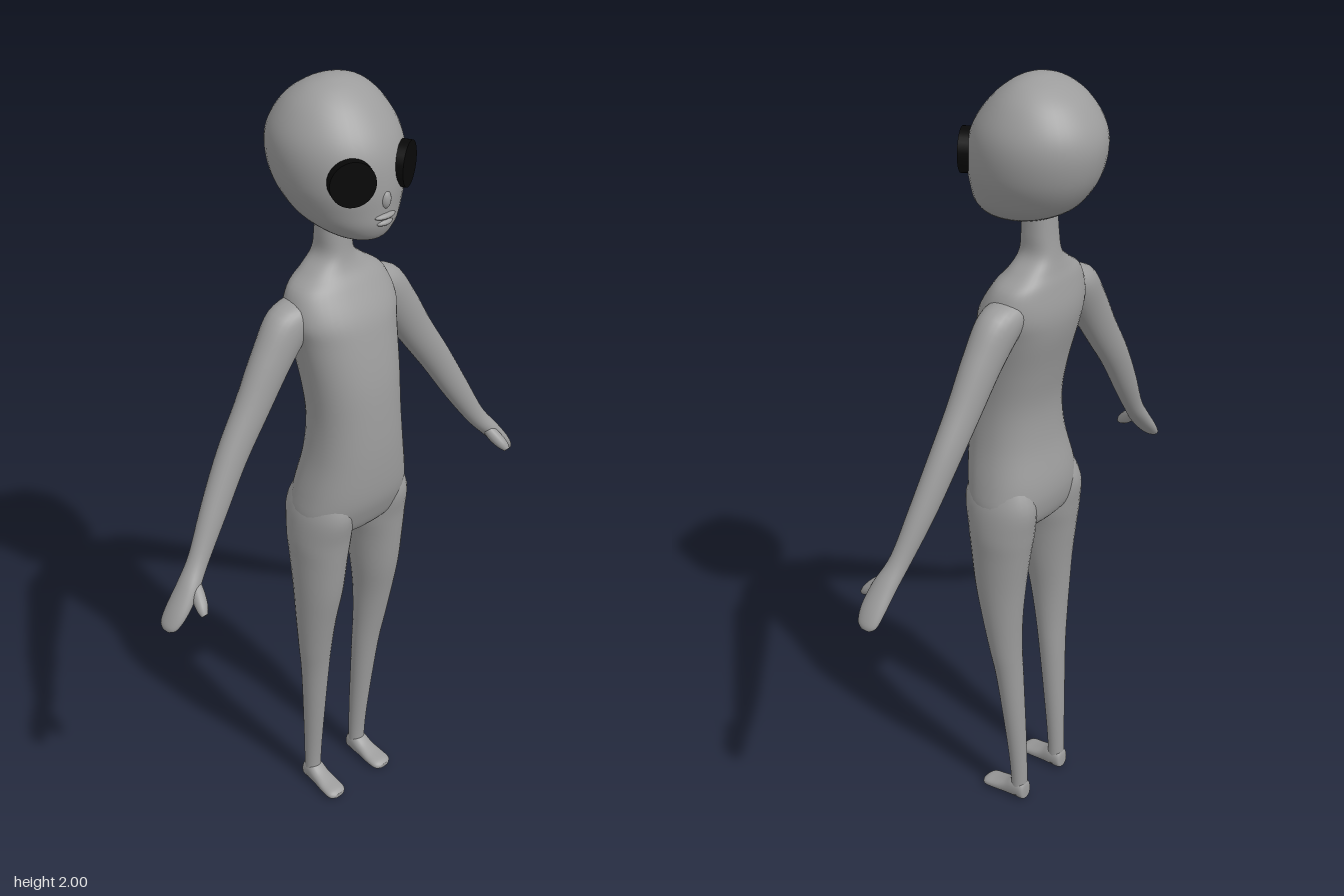
import * as THREE from 'three';

const V3 = (x, y, z) => new THREE.Vector3(x, y, z);

// Closed smooth skin through rings [cx, cy, cz, ru, rv] lying in the plane of U and V.
function loft(rows, U, V, { sides = 28, sub = 5, power = 1 } = {}) {
  const n = rows.length - 1, steps = n * sub, pos = [], idx = [];
  const at = (i, k) => rows[Math.min(n, Math.max(0, i))][k];
  const bend = (t) => Math.sign(t) * Math.pow(Math.abs(t), power);
  for (let s = 0; s <= steps; s++) {
    const i = Math.min(n - 1, Math.floor(s / sub)), t = s / sub - i;
    const [cx, cy, cz, ru, rv] = [0, 1, 2, 3, 4].map((k) => {
      const a = at(i - 1, k), b = at(i, k), c = at(i + 1, k), d = at(i + 2, k);
      return b + 0.5 * t * (c - a + t * (2 * a - 5 * b + 4 * c - d + t * (3 * (b - c) + d - a)));
    });
    for (let j = 0; j < sides; j++) {
      const q = (j / sides) * Math.PI * 2;
      const p = V3(cx, cy, cz).addScaledVector(U, ru * bend(Math.cos(q))).addScaledVector(V, rv * bend(Math.sin(q)));
      pos.push(p.x, p.y, p.z);
    }
  }
  const run = V3(...rows[n].slice(0, 3)).sub(V3(...rows[0].slice(0, 3)));
  const flip = V3(0, 0, 0).crossVectors(U, V).dot(run) < 0;
  const tri = (a, b, c) => (flip ? idx.push(a, c, b) : idx.push(a, b, c));
  for (let s = 0; s < steps; s++) {
    for (let j = 0; j < sides; j++) {
      const k = (j + 1) % sides, a = s * sides, b = a + sides;
      tri(a + j, a + k, b + k);
      tri(a + j, b + k, b + j);
    }
  }
  // end caps
  for (let j = 1; j < sides - 1; j++) {
    const e = steps * sides;
    tri(0, j + 1, j);
    tri(e, e + j, e + j + 1);
  }
  const g = new THREE.BufferGeometry();
  g.setAttribute('position', new THREE.Float32BufferAttribute(pos, 3));
  g.setIndex(idx);
  g.computeVertexNormals();
  return g;
}

// Horizontal ring from back and front x, and z half-width
const ring = (y, back, front, half, z = 0) => [(back + front) / 2, y, z, (front - back) / 2, half];

export function createModel() {
  const model = new THREE.Group();
  model.name = 'alienFigure';
  const skin = new THREE.MeshStandardMaterial({ color: 0x9c9c9c });
  skin.name = 'grey skin';
  const black = new THREE.MeshStandardMaterial({ color: 0x080808 });
  black.name = 'black eye';
  const add = (name, geometry, material = skin) => {
    const m = new THREE.Mesh(geometry, material);
    m.name = name;
    model.add(m);
    return m;
  };
  const X = V3(1, 0, 0), Y = V3(0, 1, 0), Z = V3(0, 0, 1);

  // Head
  add('head', loft([
    ring(1.657, 0.07, 0.1, 0.015), ring(1.668, -0.02, 0.135, 0.06),
    ring(1.7, -0.09, 0.153, 0.1), ring(1.74, -0.13, 0.157, 0.125),
    ring(1.79, -0.157, 0.158, 0.144), ring(1.85, -0.168, 0.15, 0.15),
    ring(1.9, -0.156, 0.128, 0.14), ring(1.95, -0.12, 0.088, 0.11),
    ring(1.982, -0.075, 0.048, 0.072), ring(1.997, -0.035, 0.015, 0.03),
    ring(2.0, -0.012, -0.008, 0.002),
  ], X, Z, { sides: 40 }));

  // Small nose and lips
  const bump = (name, x, y, sx, sy, sz) => {
    const m = add(name, new THREE.SphereGeometry(1, 16, 12));
    m.position.set(x, y, 0);
    m.scale.set(sx, sy, sz);
  };
  bump('nose', 0.152, 1.765, 0.013, 0.022, 0.014);
  bump('upperLip', 0.151, 1.727, 0.014, 0.008, 0.03);
  bump('lowerLip', 0.149, 1.711, 0.013, 0.008, 0.024);

  // Neck, torso and pelvis
  add('torso', loft([
    ring(1.71, -0.05, 0.025, 0.04), ring(1.64, -0.055, 0.028, 0.042),
    ring(1.59, -0.062, 0.033, 0.047), ring(1.555, -0.07, 0.045, 0.085),
    ring(1.52, -0.08, 0.07, 0.13), ring(1.46, -0.09, 0.106, 0.147),
    ring(1.4, -0.085, 0.125, 0.135), ring(1.3, -0.06, 0.146, 0.122),
    ring(1.2, -0.042, 0.156, 0.117), ring(1.1, -0.046, 0.16, 0.126),
    ring(1.0, -0.066, 0.155, 0.147), ring(0.94, -0.066, 0.14, 0.156),
    ring(0.89, -0.05, 0.115, 0.145), ring(0.865, -0.015, 0.07, 0.09),
    ring(0.86, 0.02, 0.03, 0.01),
  ], X, Z, { sides: 40, power: 0.88 }));

  for (const s of [1, -1]) {
    const side = s > 0 ? 'right' : 'left';

    // Leg
    add(side + 'Leg', loft([
      ring(1.02, -0.03, 0.11, 0.045, 0.085 * s), ring(0.95, -0.062, 0.135, 0.066, 0.09 * s),
      ring(0.87, -0.056, 0.123, 0.073, 0.092 * s), ring(0.8, -0.046, 0.115, 0.067, 0.095 * s),
      ring(0.7, -0.033, 0.103, 0.06, 0.097 * s), ring(0.6, -0.025, 0.083, 0.051, 0.099 * s),
      ring(0.5, -0.021, 0.064, 0.044, 0.096 * s), ring(0.4, -0.022, 0.048, 0.037, 0.09 * s),
      ring(0.2, -0.028, 0.025, 0.027, 0.084 * s), ring(0.08, -0.03, 0.014, 0.023, 0.082 * s),
      ring(0.015, -0.03, 0.014, 0.023, 0.082 * s),
    ], X, Z));

    // Foot, from heel to toe
    add(side + 'Foot', loft([
      [-0.033, 0.02, 0.082 * s, 0.012, 0.01], [-0.028, 0.028, 0.082 * s, 0.027, 0.021],
      [0.0, 0.031, 0.082 * s, 0.031, 0.025], [0.03, 0.022, 0.083 * s, 0.022, 0.026],
      [0.06, 0.016, 0.084 * s, 0.016, 0.029], [0.09, 0.012, 0.085 * s, 0.012, 0.028],
      [0.102, 0.01, 0.085 * s, 0.006, 0.016],
    ], Y, Z, { power: 0.85 }));

    // Arm running into a flat hand
    add(side + 'Arm', loft([
      [-0.01, 1.49, 0.075 * s, 0.045, 0.035], [-0.008, 1.455, 0.14 * s, 0.05, 0.057],
      [-0.004, 1.38, 0.2 * s, 0.044, 0.053], [0.0, 1.28, 0.265 * s, 0.038, 0.046],
      [0.005, 1.18, 0.333 * s, 0.034, 0.041], [0.016, 1.07, 0.4 * s, 0.03, 0.035],
      [0.03, 0.97, 0.462 * s, 0.025, 0.026], [0.042, 0.915, 0.507 * s, 0.031, 0.023],
      [0.046, 0.87, 0.545 * s, 0.033, 0.019], [0.045, 0.84, 0.569 * s, 0.027, 0.013],
      [0.044, 0.829, 0.578 * s, 0.012, 0.005],
    ], X, V3(0, 0.58, 0.81 * s)));

    // Thumb
    add(side + 'Thumb', loft([
      [0.04, 0.935, 0.488 * s, 0.012, 0.012], [0.07, 0.905, 0.499 * s, 0.017, 0.017],
      [0.094, 0.885, 0.507 * s, 0.014, 0.015], [0.108, 0.873, 0.512 * s, 0.007, 0.008],
    ], V3(0.65, 0.76, 0), Z, { sides: 16 }));

    // Round black eye disc facing forward and outward
    const eye = add(side + 'Eye', new THREE.CylinderGeometry(0.052, 0.052, 0.03, 28), black);
    eye.position.set(0.128, 1.818, 0.077 * s);
    eye.quaternion.setFromUnitVectors(Y, V3(0.88, 0, 0.475 * s).normalize());
  }
  return model;
}
